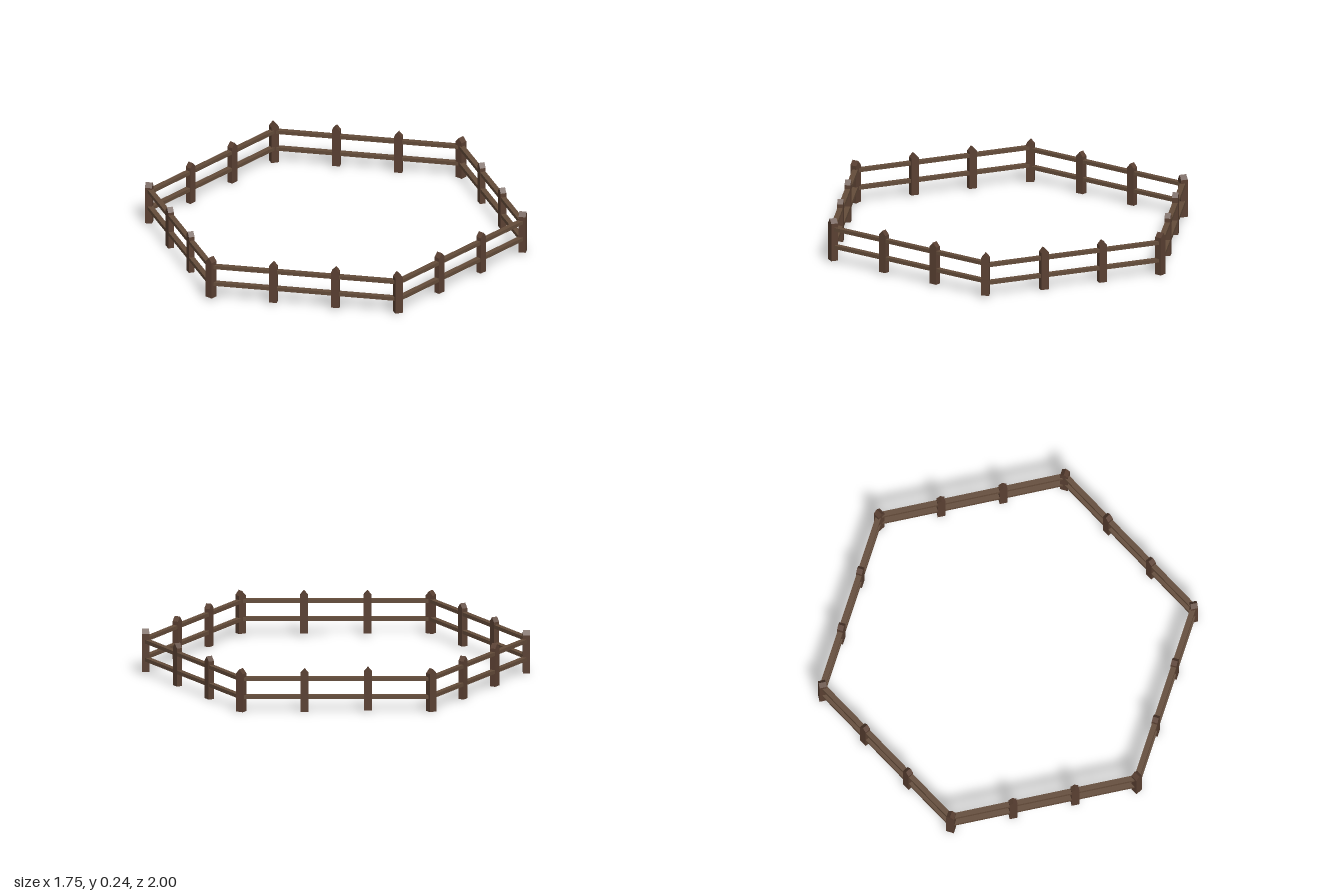
import * as THREE from 'three';

const RADIUS = 0.98;
const POST_TOP = 0.225;

// Upright with a gabled top, base on y = 0, centred in x and z
function postGeometry(width, depth) {
  const w = width / 2;
  const shape = new THREE.Shape();
  shape.moveTo(-w, 0);
  shape.lineTo(w, 0);
  shape.lineTo(w, POST_TOP - 0.024);
  shape.lineTo(0, POST_TOP);
  shape.lineTo(-w, POST_TOP - 0.024);
  shape.closePath();
  const geometry = new THREE.ExtrudeGeometry(shape, { depth, bevelEnabled: false });
  geometry.translate(0, 0, -depth / 2);
  return geometry;
}

export function createModel() {
  const model = new THREE.Group();
  model.name = 'hexagonalFence';

  const postWood = new THREE.MeshStandardMaterial({ color: 0x5a4032, flatShading: true });
  const railWood = new THREE.MeshStandardMaterial({ color: 0x644c3a, flatShading: true });

  const cornerPost = postGeometry(0.041, 0.037);
  const middlePost = postGeometry(0.042, 0.031);
  const rail = new THREE.BoxGeometry(RADIUS, 0.019, 0.028);

  const corner = (k) => {
    const a = (k * Math.PI) / 3;
    return new THREE.Vector3(Math.sin(a) * RADIUS, 0, Math.cos(a) * RADIUS);
  };

  // Slightly uneven heights, per side for rails and per post for uprights
  const railLift = [0.012, 0.01, 0, 0, 0.002, 0.012];
  const cornerLift = [0.012, 0.012, 0.012, 0, 0, 0.002];
  const middleLift = [[0.012, 0.012], [0.01, 0.01], [0.002, 0], [0, 0.008], [0, 0], [0.006, 0.012]];

  for (let k = 0; k < 6; k++) {
    const start = corner(k);
    const end = corner(k + 1);
    const facing = ((k + 0.5) * Math.PI) / 3;

    const side = new THREE.Group();
    side.name = `fenceSide${k + 1}`;
    model.add(side);

    const add = (name, geometry, material, position, y, turn) => {
      const mesh = new THREE.Mesh(geometry, material);
      mesh.name = name;
      mesh.position.copy(position).setY(y);
      mesh.rotation.y = turn;
      side.add(mesh);
    };

    // Corner upright, turned along the bisector
    add('cornerPost', cornerPost, postWood, start, cornerLift[k], (k * Math.PI) / 3);

    // Two uprights at thirds of the side
    for (let i = 0; i < 2; i++) {
      const p = start.clone().lerp(end, (i + 1) / 3);
      add('middlePost', middlePost, postWood, p, middleLift[k][i], facing);
    }

    // Two horizontal rails
    const mid = start.clone().lerp(end, 0.5);
    add('lowerRail', rail, railWood, mid, 0.077 + railLift[k], facing);
    add('upperRail', rail, railWood, mid, 0.172 + railLift[k], facing);
  }

  return model;
}
